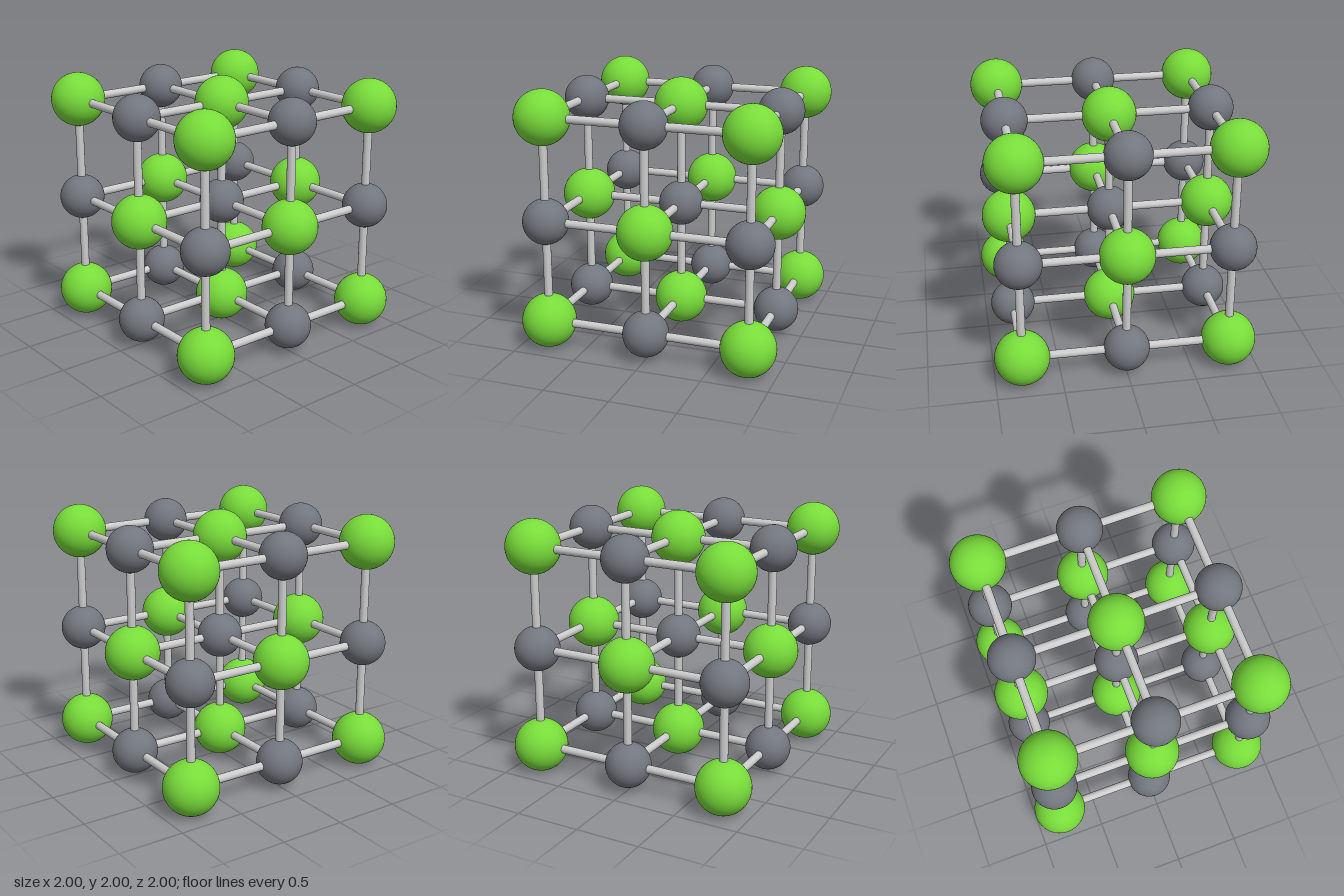
import * as THREE from 'three';

const SPACING = 0.792;   // distance between neighbouring balls
const GREEN_RADIUS = 0.208;
const GREY_RADIUS = 0.175;
const ROD_RADIUS = 0.032;

export function createModel() {
  const model = new THREE.Group();
  model.name = 'crystalLattice';

  const green = new THREE.MeshStandardMaterial({ color: 0x78dc3a });
  const darkGrey = new THREE.MeshStandardMaterial({ color: 0x72767e });
  const rodGrey = new THREE.MeshStandardMaterial({ color: 0xcccccc });

  const greenBall = new THREE.SphereGeometry(GREEN_RADIUS, 48, 28);
  const greyBall = new THREE.SphereGeometry(GREY_RADIUS, 48, 28);
  const rod = new THREE.CylinderGeometry(ROD_RADIUS, ROD_RADIUS, SPACING, 24, 1, true);

  const balls = new THREE.Group();
  balls.name = 'balls';
  const rods = new THREE.Group();
  rods.name = 'rods';
  model.add(balls, rods);

  const place = (i, j, k) => new THREE.Vector3(i * SPACING, 1 + j * SPACING, k * SPACING);
  const up = new THREE.Vector3(0, 1, 0);
  const axes = [[1, 0, 0], [0, 1, 0], [0, 0, 1]];

  for (let i = -1; i <= 1; i++) {
    for (let j = -1; j <= 1; j++) {
      for (let k = -1; k <= 1; k++) {
        // Alternating balls: green at the corners and face centres, grey between
        const isGreen = Math.abs(i + j + k) % 2 === 1;
        const ball = new THREE.Mesh(isGreen ? greenBall : greyBall, isGreen ? green : darkGrey);
        ball.name = isGreen ? 'greenBall' : 'greyBall';
        ball.position.copy(place(i, j, k));
        balls.add(ball);

        // Rods to the next ball along each axis
        for (const [a, b, c] of axes) {
          if (i + a > 1 || j + b > 1 || k + c > 1) continue;
          const bond = new THREE.Mesh(rod, rodGrey);
          bond.name = 'rod';
          bond.position.copy(place(i + a / 2, j + b / 2, k + c / 2));
          bond.quaternion.setFromUnitVectors(up, new THREE.Vector3(a, b, c));
          rods.add(bond);
        }
      }
    }
  }
  return model;
}
